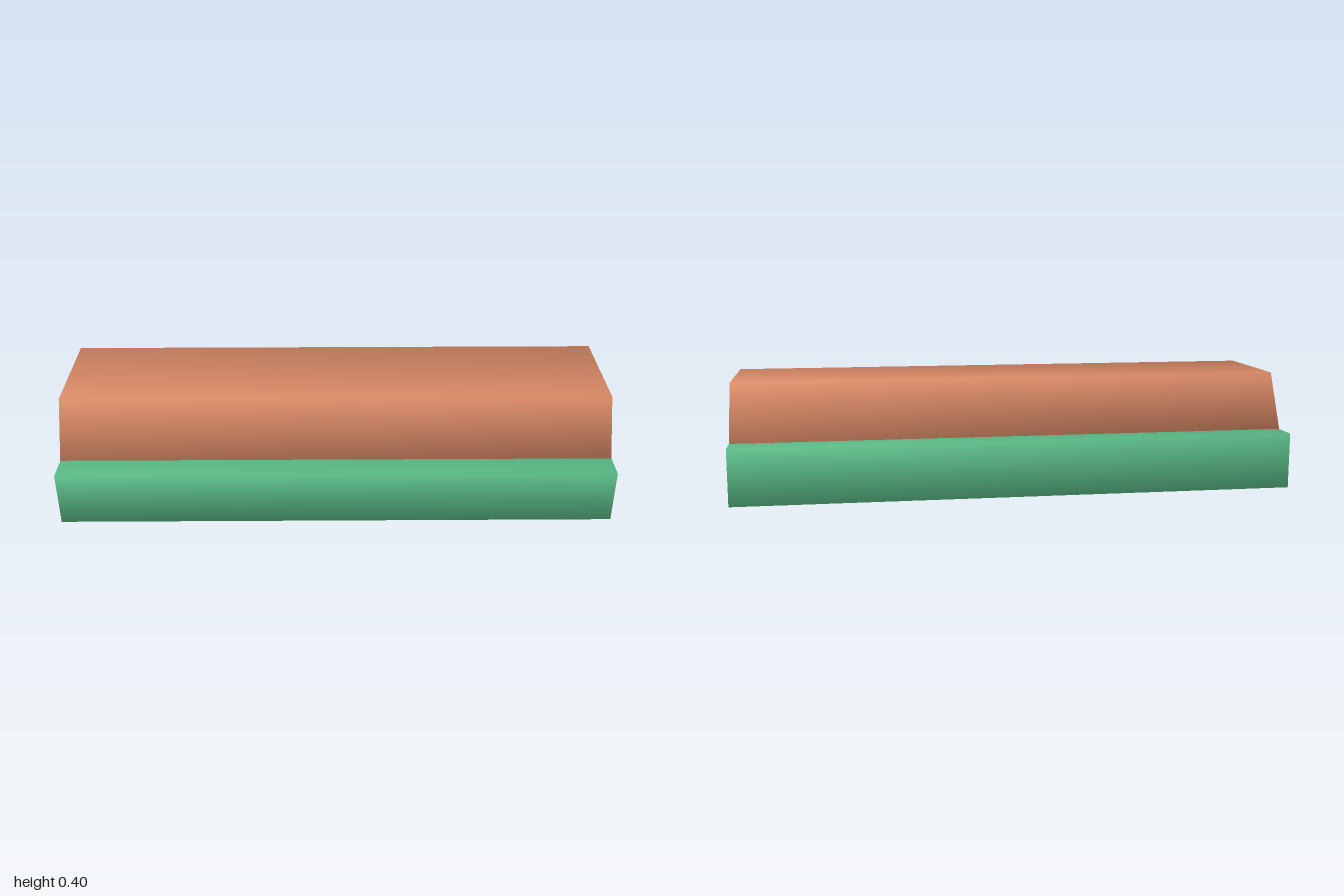
import * as THREE from 'three';

// Closed prism along x with a trapezoid section. Corners are shared, so it
// shades smoothly; each normal weighs its faces by their corner angle.
function smoothPrism(length, y0, y1, halfBottom, halfTop) {
  const corners = [];
  for (const x of [-length / 2, length / 2]) {
    corners.push(
      new THREE.Vector3(x, y0, halfBottom), new THREE.Vector3(x, y0, -halfBottom),
      new THREE.Vector3(x, y1, -halfTop), new THREE.Vector3(x, y1, halfTop));
  }
  const quads = [
    [0, 3, 2, 1], [4, 5, 6, 7], // ends
    [0, 4, 7, 3], [1, 2, 6, 5], // front, back
    [3, 7, 6, 2], [0, 1, 5, 4], // top, bottom
  ];
  const normals = corners.map(() => new THREE.Vector3());
  const index = [];
  for (const q of quads) {
    index.push(q[0], q[1], q[2], q[0], q[2], q[3]);
    q.forEach((c, i) => {
      const a = corners[q[(i + 1) % 4]].clone().sub(corners[c]);
      const b = corners[q[(i + 3) % 4]].clone().sub(corners[c]);
      const angle = a.angleTo(b);
      normals[c].addScaledVector(a.cross(b).normalize(), angle);
    });
  }
  const geometry = new THREE.BufferGeometry().setFromPoints(corners);
  const flat = normals.flatMap((n) => n.normalize().toArray());
  geometry.setAttribute('normal', new THREE.Float32BufferAttribute(flat, 3));
  geometry.setIndex(index);
  return geometry;
}

export function createModel() {
  const green = new THREE.MeshStandardMaterial({ color: 0x5abb87 });
  green.name = 'green';
  const terracotta = new THREE.MeshStandardMaterial({ color: 0xdf8d69 });
  terracotta.name = 'terracotta';

  const model = new THREE.Group();
  model.name = 'steppedBlock';

  // Rectangular slab
  const base = new THREE.Mesh(smoothPrism(2, 0, 0.2, 0.4, 0.4), green);
  base.name = 'base';

  // Tapered block on the slab
  const top = new THREE.Mesh(smoothPrism(2, 0.2, 0.4, 0.3, 0.2), terracotta);
  top.name = 'taperedTop';

  model.add(base, top);
  return model;
}
